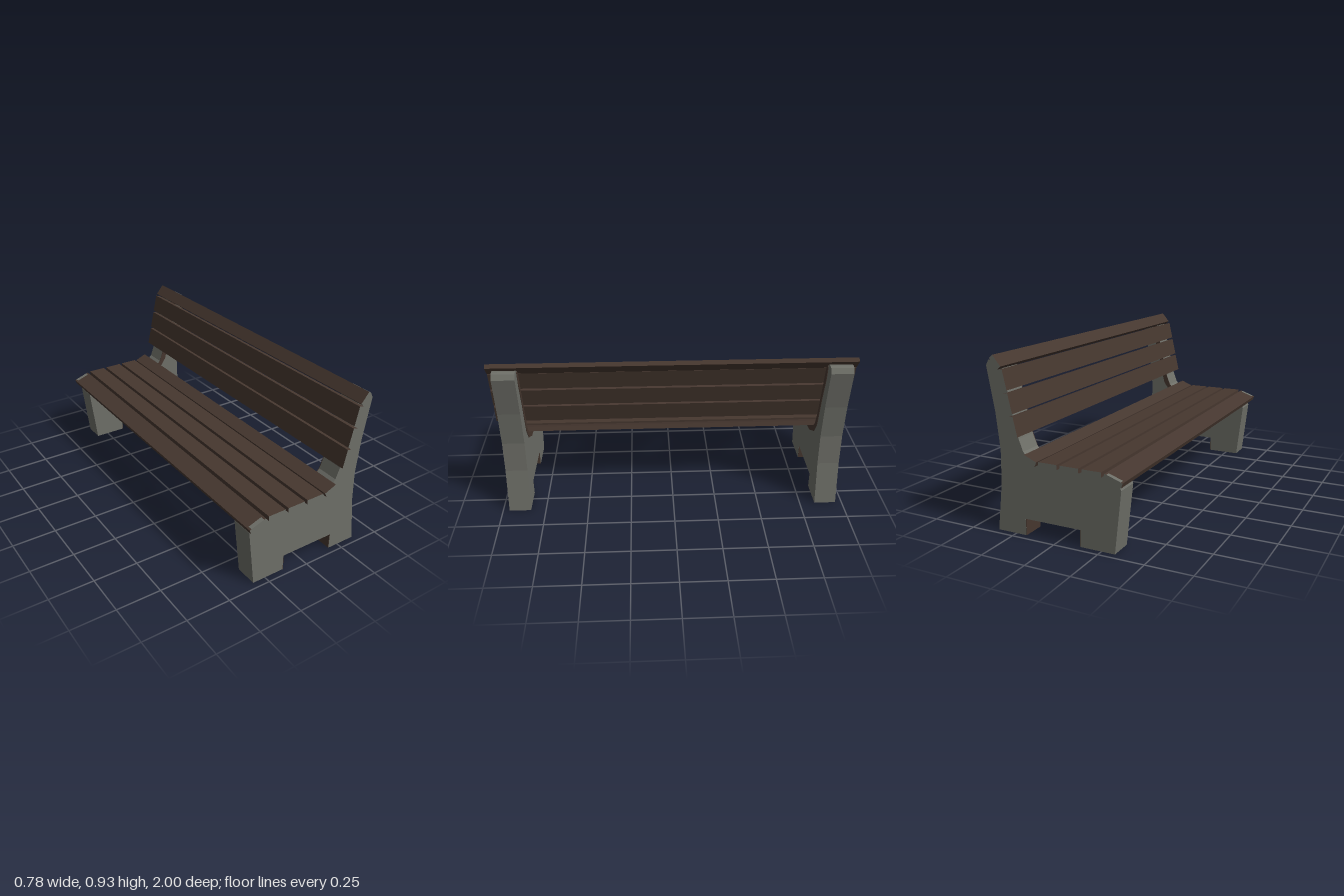
import * as THREE from 'three';

const wood = new THREE.MeshStandardMaterial({ color: 0x46372f });
wood.name = 'dark brown wood';
const concrete = new THREE.MeshStandardMaterial({ color: 0x6e6f68 });
concrete.name = 'grey concrete';

const SUPPORT_Z = 0.9, SUPPORT_WIDTH = 0.125;

// Side outline of a support, x across the seat and y up
const supportOutline = [
  [-0.325, 0], [-0.133, 0], [-0.133, 0.09], [0.19, 0.09], [0.188, 0],
  [0.361, 0], [0.33, 0.26], [0.326, 0.44], [0.348, 0.64], [0.39, 0.868],
  [0.375, 0.897], [0.355, 0.901], [0.335, 0.898], [0.312, 0.885], [0.293, 0.862],
  [0.241, 0.628], [0.212, 0.51], [0.188, 0.447], [0.165, 0.424], [0.1, 0.394],
  [-0.285, 0.393], [-0.345, 0.373], [-0.362, 0.33],
];

// Brown edge on the inner face of a support, along the slats
const stainOutline = [
  [-0.345, 0.373], [-0.25, 0.345], [-0.1, 0.33], [0.08, 0.34], [0.18, 0.39],
  [0.23, 0.46], [0.25, 0.54], [0.275, 0.66], [0.315, 0.8], [0.325, 0.88],
  [0.312, 0.885], [0.293, 0.862], [0.241, 0.628], [0.212, 0.51], [0.188, 0.447],
  [0.165, 0.424], [0.1, 0.394], [-0.285, 0.393],
];

// Slat cross-sections: centre x, centre y, length, angle in degrees
const seatSlats = [
  [-0.337, 0.388, 0.102, 19],
  [-0.223, 0.408, 0.104, 0],
  [-0.1, 0.408, 0.104, 0],
  [0.0225, 0.408, 0.104, 0],
  [0.127, 0.42, 0.076, 23],
];
const backSlats = [
  [0.2165, 0.579, 0.106, 77],
  [0.242, 0.694, 0.106, 77],
  [0.268, 0.81, 0.106, 77],
  [0.307, 0.896, 0.071, 50],
];

function extrude(points, depth) {
  const shape = new THREE.Shape(points.map(([x, y]) => new THREE.Vector2(x, y)));
  const geometry = new THREE.ExtrudeGeometry(shape, { depth, bevelEnabled: false });
  return geometry.translate(0, 0, -depth / 2);
}

function addMesh(parent, name, geometry, material, x, y, z) {
  const mesh = new THREE.Mesh(geometry, material);
  mesh.name = name;
  mesh.position.set(x, y, z);
  parent.add(mesh);
  return mesh;
}

// Brown board with grey sawn ends
function addSlat(parent, name, [x, y, length, degrees]) {
  const sides = [wood, wood, wood, wood, concrete, concrete];
  const slat = addMesh(parent, name, new THREE.BoxGeometry(length, 0.026, 2), sides, x, y, 0);
  slat.rotation.z = THREE.MathUtils.degToRad(degrees);
  return slat;
}

export function createModel() {
  const bench = new THREE.Group();
  bench.name = 'bench';

  for (const side of [1, -1]) {
    const support = new THREE.Group();
    support.name = side > 0 ? 'frontSupport' : 'rearSupport';
    support.position.z = side * SUPPORT_Z;
    bench.add(support);

    addMesh(support, 'supportBody', extrude(supportOutline, SUPPORT_WIDTH), concrete, 0, 0, 0);
    addMesh(support, 'innerStain', extrude(stainOutline, 0.004), wood,
      0, 0, -side * (SUPPORT_WIDTH / 2 + 0.001));

    // Brown walls of the notch between the feet
    for (const x of [-0.132, 0.188]) {
      addMesh(support, 'notchWall', new THREE.BoxGeometry(0.004, 0.089, SUPPORT_WIDTH - 0.001),
        wood, x, 0.0455, 0);
    }
  }

  seatSlats.forEach((s, i) => {
    const slat = addSlat(bench, `seatSlat${i + 1}`, s);
    if (i > 0) return;
    // Worn grey tips on the front board
    for (const end of [1, -1]) {
      addMesh(slat, 'wornTip', new THREE.BoxGeometry(0.08, 0.002, 0.024), concrete,
        0, 0.013, end * 0.988);
    }
  });
  backSlats.forEach((s, i) => addSlat(bench, `backSlat${i + 1}`, s));

  return bench;
}
